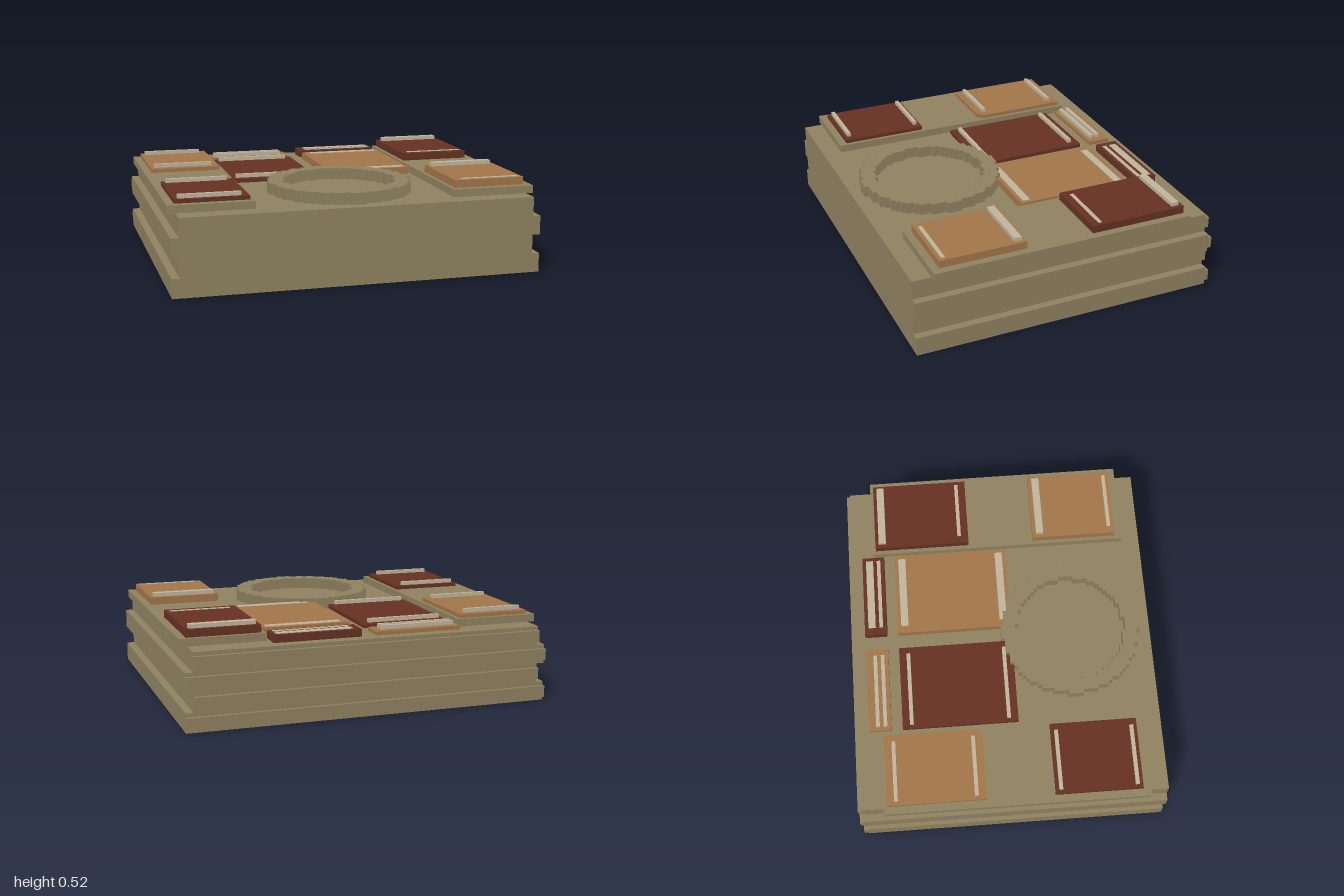
import * as THREE from 'three';

const U = 1 / 48; // one grid cell; all part sizes below are in cells

export function createModel() {
  const root = new THREE.Group();
  root.name = 'steppedPlatform';

  const mat = (name, color) => {
    const m = new THREE.MeshStandardMaterial({ color });
    m.name = name;
    return m;
  };
  const stone = mat('olive stone', 0x8f8260);
  const tan = mat('tan panel', 0xa27549);
  const maroon = mat('maroon panel', 0x653122);
  const cream = mat('cream trim', 0xc0b49c);

  // Box from its corner ranges in cells
  const box = (parent, name, material, [x0, x1], [y0, y1], [z0, z1]) => {
    const g = new THREE.BoxGeometry((x1 - x0) * U, (y1 - y0) * U, (z1 - z0) * U);
    const m = new THREE.Mesh(g, material);
    m.position.set((x0 + x1) * U / 2, (y0 + y1) * U / 2, (z0 + z1) * U / 2);
    m.name = name;
    parent.add(m);
  };

  // Body: alternating wide and narrow layers, each with a rib along the back
  [48, 46, 48, 46].forEach((w, i) => {
    const y = i * 5;
    box(root, 'bodyLayer', stone, [-w, w], [y, y + 5], [-40, 41]);
    box(root, 'backRib', stone, [-w, w], [y + 1, y + 4], [-41, -40]);
  });

  // Raised side decks
  box(root, 'leftDeck', stone, [26, 48], [20, 22], [-34, 36]);
  box(root, 'rightDeck', stone, [-48, -26], [20, 22], [-34, 36]);

  // Ring with a stepped outline
  const outline = (r, rows) => {
    const right = [];
    for (let j = -rows; j < rows; j++) {
      const w = Math.round(Math.sqrt(r * r - (j + 0.5) ** 2)) * U;
      right.push(new THREE.Vector2(w, j * U), new THREE.Vector2(w, (j + 1) * U));
    }
    const left = right.map((p) => new THREE.Vector2(-p.x, p.y)).reverse();
    return [...right, ...left];
  };
  const shape = new THREE.Shape(outline(18.6, 19));
  shape.holes.push(new THREE.Path(outline(14.6, 15)));
  const ringGeo = new THREE.ExtrudeGeometry(shape, { depth: 3 * U, bevelEnabled: false });
  ringGeo.rotateX(-Math.PI / 2);
  const ring = new THREE.Mesh(ringGeo, stone);
  ring.name = 'ring';
  ring.position.set(0, 20 * U, 19 * U);
  root.add(ring);

  // Panels: slabs with two trim bars; each bar is [x range, z range, height]
  const FLUSH = 0.15;
  const panel = (name, material, x, y, zs, bars) => {
    const g = new THREE.Group();
    g.name = name;
    box(g, 'slab', material, x, y, zs);
    for (const [bx, bz, h] of bars) box(g, 'trimBar', cream, bx, [y[1], y[1] + h], bz);
    root.add(g);
    return g;
  };

  // Panels on the model's right (-x)
  const rx = [-45, -29], mx = [-24, -4];
  const notched = panel('rightBackPanel', tan, [-46, -27], [22, 23], [-33, -8],
    [[rx, [-31, -30], 1], [rx, [-10, -9], 1]]);
  box(notched, 'slabEdge', tan, [-46, -28], [22, 23], [-8, -7]);
  panel('rightFrontPanel', maroon, [-46, -27], [22, 23], [11, 34],
    [[rx, [12, 13], 1], [rx, [32, 33], 1]]);
  panel('centreRightPanel', maroon, [-25, -2], [20, 21], [-28, 3],
    [[mx, [-26, -25], 1], [mx, [0, 1], 1]]);
  panel('backRightPanel', tan, [-25, -2], [20, 21], [-37, -31],
    [[mx, [-35, -34], 1], [mx, [-33, -32], 1]]);

  // Panels on the model's left (+x), thicker with some flush trim
  const lx = [28, 45], sx = [29, 45], cx = [4, 24];
  panel('leftBackPanel', maroon, [27, 46], [22, 24], [-33, -7],
    [[lx, [-32, -30], 1], [sx, [-10, -9], FLUSH]]);
  panel('leftFrontPanel', tan, [27, 46], [22, 24], [11, 34],
    [[lx, [12, 14], 1], [sx, [32, 33], FLUSH]]);
  panel('centreLeftPanel', tan, [2, 25], [20, 22], [-28, 3],
    [[cx, [-27, -25], FLUSH], [cx, [0, 2], FLUSH]]);
  panel('backLeftPanel', maroon, [2, 25], [20, 22], [-37, -31],
    [[cx, [-36, -34], FLUSH], [cx, [-33, -32], FLUSH]]);

  return root;
}
